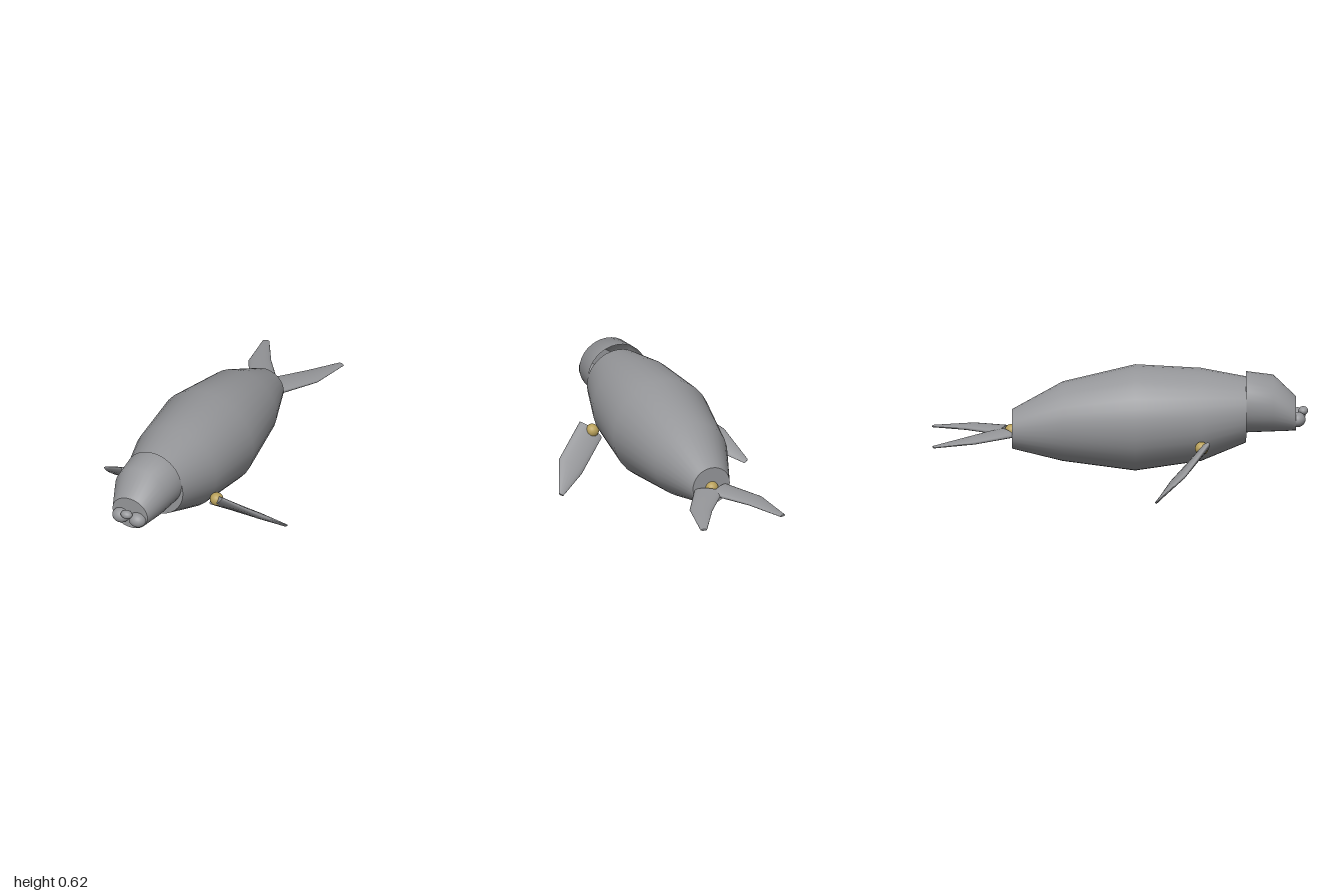
import * as THREE from 'three';

const V = (x, y, z) => new THREE.Vector3(x, y, z);

// Skin over elliptical rings {c: centre, u: half-axis, v: half-axis}, with u x v along the sweep
function loft(rings, n, capStart, capEnd) {
  const pos = [], idx = [];
  const addRing = (r) => {
    const first = pos.length / 3;
    for (let j = 0; j < n; j++) {
      const a = (j / n) * Math.PI * 2;
      const p = r.c.clone().addScaledVector(r.u, Math.cos(a)).addScaledVector(r.v, Math.sin(a));
      pos.push(p.x, p.y, p.z);
    }
    return first;
  };
  rings.forEach(addRing);
  for (let i = 0; i < rings.length - 1; i++) {
    for (let j = 0; j < n; j++) {
      const k = (j + 1) % n, a = i * n + j, b = i * n + k;
      idx.push(a, b, b + n, a, b + n, a + n);
    }
  }
  // Caps have their own vertices so the rim stays sharp
  const cap = (r, atEnd) => {
    const s = addRing(r), m = pos.length / 3;
    pos.push(r.c.x, r.c.y, r.c.z);
    for (let j = 0; j < n; j++) {
      const k = (j + 1) % n;
      if (atEnd) idx.push(m, s + j, s + k);
      else idx.push(m, s + k, s + j);
    }
  };
  if (capStart) cap(rings[0], false);
  if (capEnd) cap(rings[rings.length - 1], true);
  const g = new THREE.BufferGeometry();
  g.setAttribute('position', new THREE.Float32BufferAttribute(pos, 3));
  g.setIndex(idx);
  g.computeVertexNormals();
  return g;
}

// Upright ring from [z, centre y, half width, half height]
const upright = ([z, y, w, h]) => ({ c: V(0, y, z), u: V(w, 0, 0), v: V(0, h, 0) });

// Lens-section flipper between a leading and a trailing edge
function flipper(lead, trail, thick, side) {
  const mid = [], half = [];
  lead.forEach((l, i) => {
    const a = V(l[0] * side, l[1], l[2]);
    const b = V(trail[i][0] * side, trail[i][1], trail[i][2]);
    mid.push(a.clone().add(b).multiplyScalar(0.5));
    half.push(a.sub(b).multiplyScalar(0.5));
  });
  const span = mid[mid.length - 1].clone().sub(mid[0]);
  const rings = mid.map((c, i) => ({
    c, u: half[i], v: span.clone().cross(half[i]).setLength(thick[i]),
  }));
  return loft(rings, 16, true, true);
}

export function createModel() {
  const model = new THREE.Group();
  const skin = new THREE.MeshStandardMaterial({ color: 0x959699, side: THREE.DoubleSide });
  skin.name = 'grey skin';
  const joint = new THREE.MeshStandardMaterial({ color: 0xb8a05a });
  joint.name = 'yellow joint';

  const add = (name, geometry, material) => {
    const mesh = new THREE.Mesh(geometry, material);
    mesh.name = name;
    model.add(mesh);
    return mesh;
  };
  const ball = (name, material, p, rx, ry = rx, rz = rx) => {
    const mesh = add(name, new THREE.SphereGeometry(1, 24, 16), material);
    mesh.position.set(...p);
    mesh.scale.set(rx, ry, rz);
  };

  // Barrel-shaped body, tail end to neck
  add('body', loft([
    [-0.575, 0.28, 0.107, 0.105],
    [-0.305, 0.322, 0.212, 0.212],
    [0.08, 0.342, 0.283, 0.283],
    [0.43, 0.358, 0.248, 0.248],
    [0.67, 0.385, 0.176, 0.176],
  ].map(upright), 32, true, true), skin);

  // Head, open where it meets the neck
  add('head', loft([
    [0.67, 0.427, 0.167, 0.163],
    [0.815, 0.42, 0.156, 0.151],
    [0.935, 0.363, 0.106, 0.091],
  ].map(upright), 32, false, true), skin);

  // Muzzle
  ball('nose', skin, [0, 0.378, 0.974], 0.033, 0.023, 0.026);
  for (const side of [1, -1]) {
    const label = side > 0 ? 'left' : 'right';
    ball(label + 'Cheek', skin, [0.05 * side, 0.342, 0.944], 0.048, 0.04, 0.042);

    // Front flipper and its shoulder joint
    ball(label + 'ShoulderJoint', joint, [0.25 * side, 0.234, 0.432], 0.036);
    add(label + 'FrontFlipper', flipper(
      [[0.305, 0.278, 0.472], [0.48, 0.145, 0.345], [0.549, 0.018, 0.192]],
      [[0.2, 0.187, 0.42], [0.385, 0.075, 0.262], [0.527, 0.003, 0.185]],
      [0.019, 0.017, 0.006], side), skin);

    // Tail flipper
    add(label + 'TailFlipper', flipper(
      [[0.095, 0.265, -0.565], [0.21, 0.255, -0.765], [0.246, 0.238, -0.99]],
      [[-0.03, 0.265, -0.65], [0.105, 0.255, -0.825], [0.212, 0.238, -1.0]],
      [0.022, 0.016, 0.005], side), skin);
  }
  ball('tailJoint', joint, [0, 0.27, -0.578], 0.036);

  return model;
}
